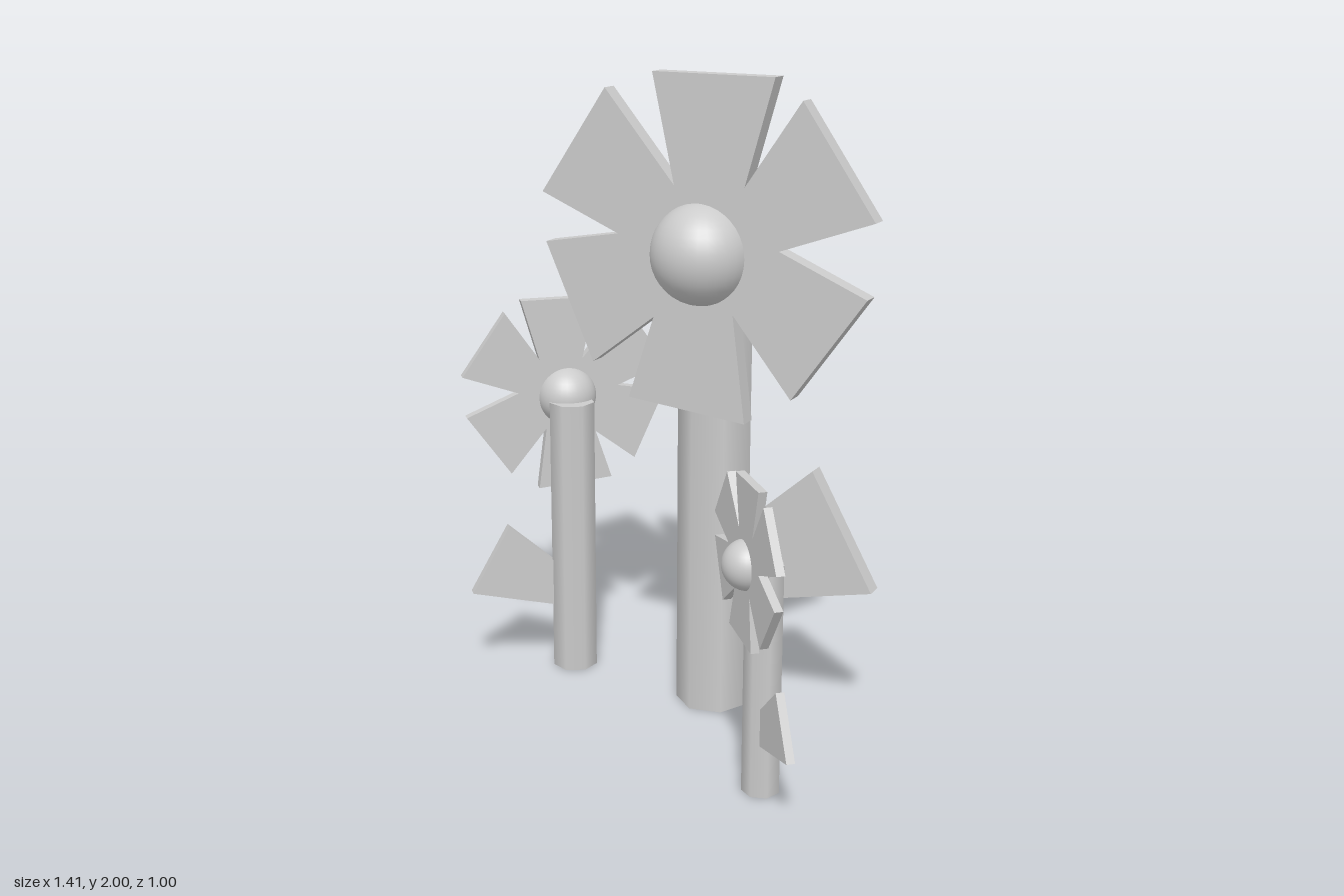
import * as THREE from 'three';

const material = new THREE.MeshStandardMaterial({ color: 0xcccccc });
const THICKNESS = 0.053;
const HEAD_Y = 1.48;

// Flat plate cut from an outline, centred on local z = 0
function plate(name, points) {
  const shape = new THREE.Shape(points.map(([x, y]) => new THREE.Vector2(x, y)));
  const geometry = new THREE.ExtrudeGeometry(shape, { depth: THICKNESS, bevelEnabled: false });
  geometry.translate(0, 0, -THICKNESS / 2);
  const mesh = new THREE.Mesh(geometry, material);
  mesh.name = name;
  return mesh;
}

// Six uneven petals: two outer corners, then the notch before the next petal
const petalOutline = [
  [-0.153, 0.52], [0.238, 0.52], [0.148, 0.206],
  [0.323, 0.46], [0.55, 0.138], [0.26, 0.032],
  [0.534, -0.08], [0.307, -0.402], [0.116, -0.17],
  [0.159, -0.497], [-0.233, -0.466], [-0.148, -0.206],
  [-0.36, -0.37], [-0.524, -0.01], [-0.27, 0.037],
  [-0.534, 0.143], [-0.312, 0.466], [-0.08, 0.196],
].reverse();

const leafOutline = [[0, 0.35], [0.545, 0.487], [0.344, 0.84], [0, 0.53]];

// One flower, with the head on the local y axis and facing +z
function flower(name, x, z, scale, turn, leafDrop) {
  const group = new THREE.Group();
  group.name = name;

  const petals = plate('petals', petalOutline);
  petals.position.y = HEAD_Y;

  const centre = new THREE.Mesh(new THREE.SphereGeometry(0.154, 32, 20), material);
  centre.name = 'flowerCentre';
  centre.position.y = HEAD_Y - 0.003;

  // Seven-sided stem standing behind the head
  const height = 1.474;
  const stem = new THREE.Mesh(
    new THREE.CylinderGeometry(0.118, 0.118, height, 7, 1, false, Math.PI / 2), material);
  stem.name = 'stem';
  stem.position.set(-0.002, height / 2, -0.11);

  const leaf = plate('leaf', leafOutline);
  leaf.position.set(0, -leafDrop, -0.09);

  group.add(petals, centre, stem, leaf);
  group.position.set(x, 0, z);
  group.rotation.y = turn;
  group.scale.setScalar(scale);
  return group;
}

export function createModel() {
  const model = new THREE.Group();
  model.name = 'flowers';
  model.add(
    flower('largeFlower', 0.125, -0.092, 1, 0, 0),
    flower('mediumFlower', -0.452, -0.255, 0.625, -Math.PI * 0.75, 0.025),
    flower('smallFlower', 0.479, 0.302, 0.478, -Math.PI / 4, 0.03),
  );
  return model;
}
